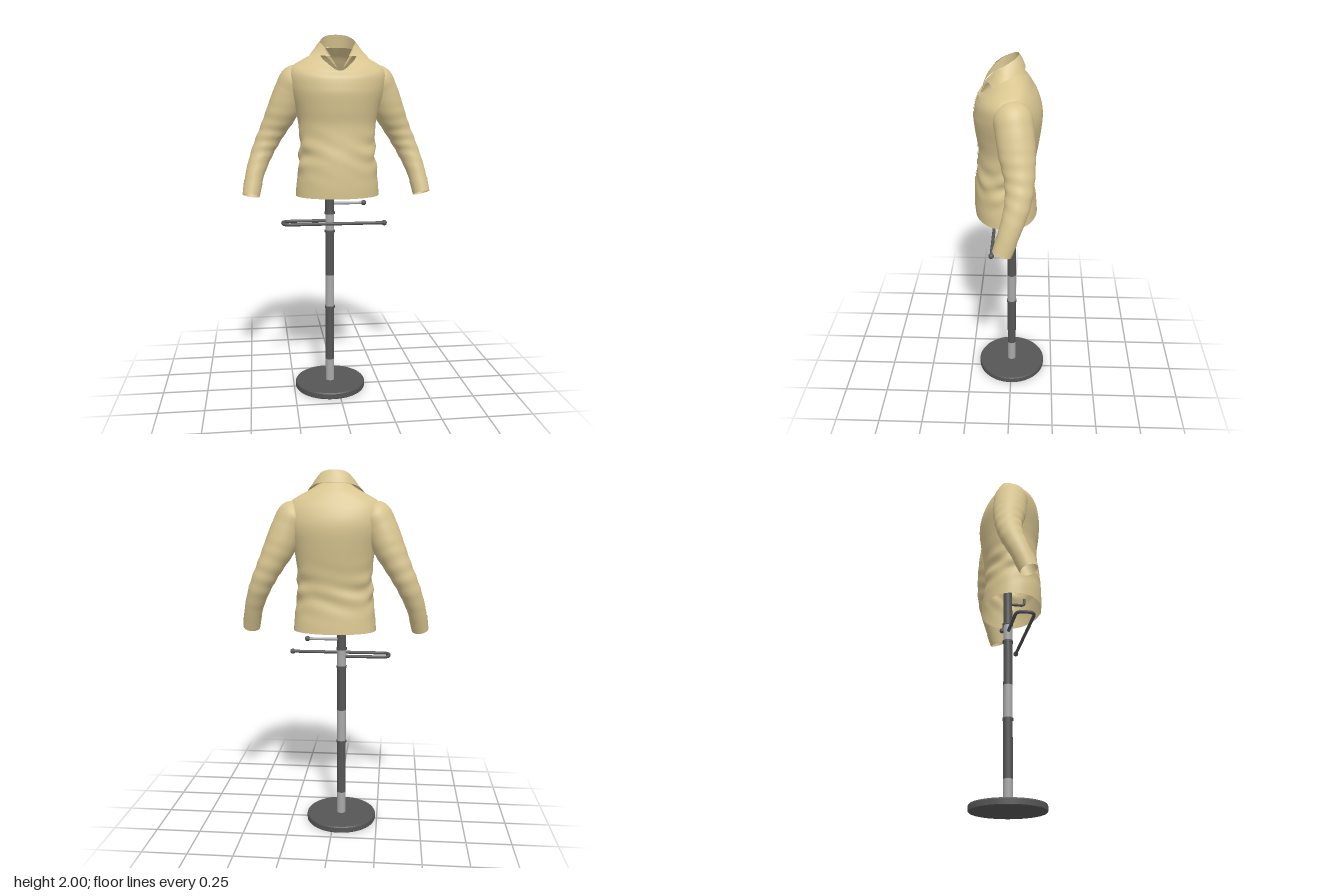
import * as THREE from 'three';

const V = (x, y, z) => new THREE.Vector3(x, y, z);
const POLE_X = -0.04;

const material = (name, color, side = THREE.FrontSide) => {
  const m = new THREE.MeshStandardMaterial({ color, side });
  m.name = name;
  return m;
};

// Smooth interpolation through a table of number rows, t from 0 to 1
function sample(table, t) {
  const n = table.length - 1;
  const i = Math.min(Math.floor(t * n), n - 1);
  const f = t * n - i;
  const row = k => table[Math.max(0, Math.min(n, k))];
  return table[0].map((_, c) => {
    const [a, b, d, e] = [row(i - 1)[c], row(i)[c], row(i + 1)[c], row(i + 2)[c]];
    return b + 0.5 * f * (d - a + f * (2 * a - 5 * b + 4 * d - e + f * (3 * (b - d) + e - a)));
  });
}

// Skin over rows of points
function loft(rows, closed) {
  const n = rows[0].length, index = [];
  for (let r = 0; r < rows.length - 1; r++) {
    for (let i = 0; i < (closed ? n : n - 1); i++) {
      const j = (i + 1) % n, a = r * n + i, b = r * n + j;
      index.push(a, b, a + n, b, b + n, a + n);
    }
  }
  const g = new THREE.BufferGeometry();
  g.setAttribute('position', new THREE.Float32BufferAttribute(rows.flat().flatMap(p => p.toArray()), 3));
  g.setIndex(index);
  g.computeVertexNormals();
  return g;
}

const steps = (n, fn) => Array.from({ length: n + 1 }, (_, i) => fn(i / n));

// Torso rings: back height, drop towards the front, half width, back z, front z
const TORSO = [
  [1.135, 0, 0.23, -0.14, 0.195],
  [1.2, 0, 0.225, -0.135, 0.197],
  [1.32, 0, 0.212, -0.122, 0.193],
  [1.42, 0, 0.206, -0.125, 0.18],
  [1.52, 0, 0.211, -0.14, 0.174],
  [1.6, 0, 0.226, -0.152, 0.185],
  [1.68, 0, 0.25, -0.16, 0.193],
  [1.74, 0.02, 0.262, -0.155, 0.19],
  [1.8, 0.04, 0.262, -0.135, 0.183],
  [1.845, 0.065, 0.24, -0.11, 0.175],
  [1.88, 0.08, 0.185, -0.09, 0.168],
  [1.905, 0.1, 0.14, -0.07, 0.16],
  [1.93, 0.125, 0.1, -0.05, 0.153],
];

function torsoPoint(t, angle, lift = 0) {
  const [y, drop, w, zb, zf] = sample(TORSO, t);
  const c = Math.cos(angle), s = Math.sin(angle);
  // flatter back, rounder front
  const sz = s < 0 ? -Math.pow(-s, 0.8) : s;
  const f = (sz + 1) / 2;
  // cloth folds gathered around the waist, calm at the hem and centre front
  const fold = Math.exp(-(((y - 1.36) / 0.1) ** 2)) * (1 - 0.8 * Math.max(0, s) ** 6);
  const wave = Math.sin(62 * y + 3 * Math.sin(2 * angle) + 2 * c) + 0.6 * Math.sin(41 * y - 5 * angle);
  const k = 1 + 0.026 * fold * wave;
  // the neckline narrows to a V at the front
  const pinch = 1 - 0.35 * Math.max(0, (t - 0.85) / 0.15) * Math.max(0, s) ** 2;
  const half = (zf - zb) / 2;
  return V(w * c * k * pinch, y - drop * f * f, (zf + zb) / 2 + half * sz * k + lift);
}

// Sleeve rings: centre x, y, z, radius
const SLEEVE = [
  [0.16, 1.79, 0.0, 0.03],
  [0.212, 1.765, -0.01, 0.085],
  [0.25, 1.7, -0.022, 0.088],
  [0.293, 1.6, -0.036, 0.085],
  [0.35, 1.49, -0.05, 0.07],
  [0.405, 1.38, -0.043, 0.06],
  [0.45, 1.26, -0.008, 0.051],
  [0.475, 1.14, 0.032, 0.044],
];

function sleeveRing(t, side, extra = 0) {
  const [x, y, z, r] = sample(SLEEVE, t);
  const a = sample(SLEEVE, Math.max(0, t - 0.02)), b = sample(SLEEVE, Math.min(1, t + 0.02));
  const tangent = V(b[0] - a[0], b[1] - a[1], b[2] - a[2]).normalize();
  const u = V(0, 0, 1).addScaledVector(tangent, -tangent.z).normalize();
  const v = tangent.clone().cross(u);
  const crease = Math.exp(-(((t - 0.64) / 0.18) ** 2)) * 0.025;
  return steps(31, s => {
    const q = s * Math.PI * 2 * 31 / 32;
    const k = (r + extra) * (1 + crease * Math.sin(75 * t + 2 * Math.sin(q) + q));
    const p = V(x, y, z).addScaledVector(u, k * 1.08 * Math.cos(q)).addScaledVector(v, k * Math.sin(q));
    p.x *= side;
    return p;
  });
}

// Row mirrored across x = 0, given from the front to the centre back
function collarRow(half) {
  const right = half.map(p => V(...p));
  const left = half.slice(0, -1).reverse().map(([x, y, z]) => V(-x, y, z));
  return new THREE.CatmullRomCurve3([...right, ...left]).getPoints(60);
}

export function createModel() {
  const cloth = material('khaki cloth', 0xd8c590, THREE.DoubleSide);
  const dark = material('dark metal', 0x565656);
  const light = material('light metal', 0xa9a9a9);

  const model = new THREE.Group();
  const stand = new THREE.Group();
  stand.name = 'stand';
  const shirt = new THREE.Group();
  shirt.name = 'shirt';
  model.add(stand, shirt);
  const add = (parent, name, geometry, mat, x = 0, y = 0, z = 0) => {
    const mesh = new THREE.Mesh(geometry, mat);
    mesh.name = name;
    mesh.position.set(x, y, z);
    parent.add(mesh);
    return mesh;
  };

  // Base disc with a softened rim
  const rim = [[0, 0], [0.197, 0], [0.2, 0.004], [0.2, 0.03], [0.196, 0.036], [0, 0.036]];
  for (let i = 0; i < rim.length - 1; i++) {
    const pair = [rim[i], rim[i + 1]].map(([r, y]) => new THREE.Vector2(r, y));
    add(stand, 'base', new THREE.LatheGeometry(pair, 64), dark, POLE_X);
  }

  // Pole in alternating tones, with joint rings
  const joints = [[0.036, 0.165, light], [0.165, 0.48, dark], [0.48, 0.67, light],
    [0.67, 0.925, dark], [0.925, 1.03, light], [1.03, 1.22, dark]];
  for (const [y0, y1, mat] of joints) {
    add(stand, 'poleSection', new THREE.CylinderGeometry(0.025, 0.025, y1 - y0, 32), mat, POLE_X, (y0 + y1) / 2);
  }
  for (const y of [0.48, 0.925, 1.03]) {
    add(stand, 'jointRing', new THREE.CylinderGeometry(0.029, 0.029, 0.012, 32), dark, POLE_X, y);
  }
  add(stand, 'poleCap', new THREE.SphereGeometry(0.025, 24, 12), dark, POLE_X, 1.22);

  // Rails and hooks
  const tube = (name, points, r, mat) => {
    const path = new THREE.CurvePath();
    points.slice(1).forEach((p, i) => path.add(Array.isArray(p)
      ? new THREE.QuadraticBezierCurve3(points[i].isVector3 ? points[i] : points[i][1], p[0], p[1])
      : new THREE.LineCurve3(points[i].isVector3 ? points[i] : points[i][1], p)));
    add(stand, name, new THREE.TubeGeometry(path, 60, r, 12), mat);
  };
  const ball = (x, y, z, mat) => add(stand, 'railBall', new THREE.SphereGeometry(0.015, 20, 14), mat, x, y, z);
  tube('trouserRail', [V(POLE_X, 0.985, 0), V(-0.265, 0.985, 0),
    [V(-0.305, 0.985, 0), V(-0.305, 0.985, 0.04)], V(-0.305, 0.985, 0.06),
    [V(-0.305, 0.985, 0.1), V(-0.265, 0.985, 0.1)], V(0.25, 0.985, 0.1)], 0.009, dark);
  ball(0.252, 0.985, 0.1, dark);
  tube('sideRail', [V(POLE_X, 1.083, 0), V(0.15, 1.083, 0)], 0.008, light);
  ball(0.152, 1.083, 0, dark);
  tube('frontHook', [V(POLE_X, 1.16, 0), V(POLE_X, 1.16, 0.075),
    [V(POLE_X, 1.16, 0.095), V(POLE_X, 1.18, 0.095)], V(POLE_X, 1.2, 0.095)], 0.008, dark);

  // Shirt body, open at hem and neck
  const TURN = Math.PI * 2;
  add(shirt, 'shirtBody', loft(steps(110, t => steps(95, s => torsoPoint(t, s * TURN * 95 / 96))), true), cloth);
  // Button placket down the front
  add(shirt, 'placket', loft(steps(60, t => steps(4, s =>
    torsoPoint(t * 0.9, Math.PI / 2 + (s - 0.5) * 0.13, 0.003))), false), cloth);

  // Sleeves and cuffs
  for (const side of [1, -1]) {
    const name = side > 0 ? 'left' : 'right';
    add(shirt, name + 'Sleeve', loft(steps(70, t => sleeveRing(t, side)), true), cloth);
    add(shirt, name + 'Cuff', loft(steps(8, t => sleeveRing(0.91 + 0.09 * t, side, 0.003)), true), cloth);
  }

  // Collar: stand rising from the neckline, leaf folded outwards to two points
  const neckRow = collarRow([[0.002, 1.8, 0.155], [0.05, 1.86, 0.128], [0.092, 1.905, 0.045], [0.06, 1.93, -0.03], [0, 1.93, -0.05]]);
  const standRow = collarRow([[0.003, 1.8, 0.158], [0.056, 1.89, 0.12], [0.094, 1.955, 0.045], [0.06, 1.99, -0.02], [0, 2.0, -0.038]]);
  add(shirt, 'collarStand', loft([neckRow, standRow], false), cloth);
  const foldRow = collarRow([[0.048, 1.88, 0.126], [0.08, 1.935, 0.08], [0.094, 1.957, 0.045], [0.06, 1.991, -0.02], [0, 2.0, -0.038]]);
  const leafRow = collarRow([[0.162, 1.872, 0.083], [0.146, 1.897, 0.045], [0.128, 1.912, 0.01], [0.078, 1.93, -0.052], [0, 1.935, -0.07]]);
  const midRow = foldRow.map((p, i) => p.clone().lerp(leafRow[i], 0.5).add(V(0, 0.008, 0)));
  add(shirt, 'collarLeaf', loft([foldRow, midRow, leafRow], false), cloth);

  return model;
}
